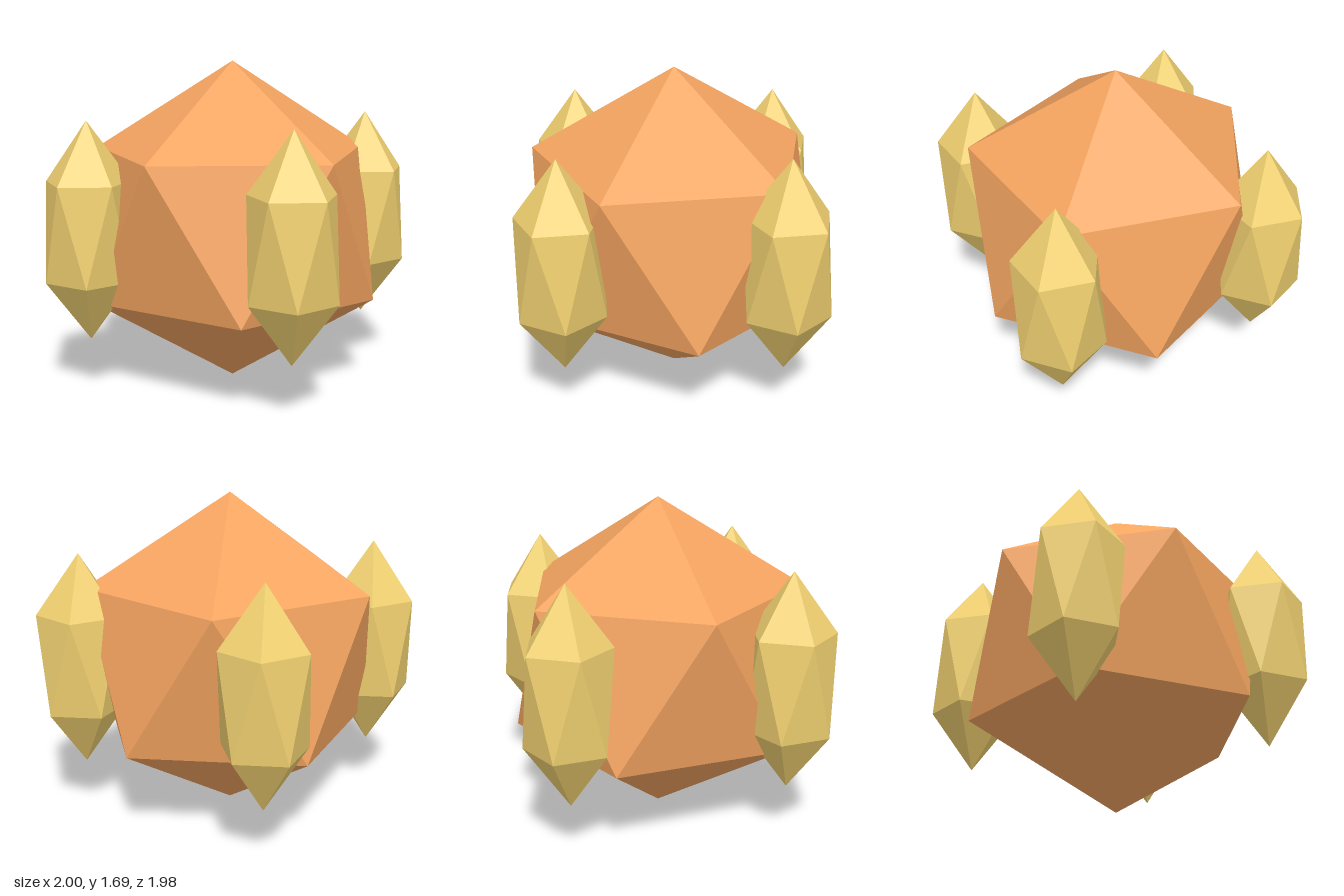
import * as THREE from 'three';

// Icosahedron standing on a corner, with one upper-ring corner pointing to +x
function uprightIcosahedron(radius, halfHeight) {
  const golden = (1 + Math.sqrt(5)) / 2;
  const geometry = new THREE.IcosahedronGeometry(1, 0);
  geometry.rotateZ(-Math.atan(1 / golden));
  geometry.scale(radius, halfHeight, radius);
  return geometry;
}

export function createModel() {
  const model = new THREE.Group();
  model.name = 'crystalCluster';
  const centreY = 0.85;

  const bodyMaterial = new THREE.MeshStandardMaterial({ color: 0xf4a460, flatShading: true });
  const shardMaterial = new THREE.MeshStandardMaterial({ color: 0xf0d070, flatShading: true });

  // Large central gem
  const body = new THREE.Mesh(uprightIcosahedron(0.843, 0.843), bodyMaterial);
  body.name = 'centralGem';
  body.position.y = centreY;
  model.add(body);

  // Four tall shards around it, all turned the same way
  const shardGeometry = uprightIcosahedron(0.25, 0.56);
  const spots = { leftShard: [1, 0], rightShard: [-1, 0], frontShard: [0, 1], backShard: [0, -1] };
  for (const [name, [x, z]] of Object.entries(spots)) {
    const shard = new THREE.Mesh(shardGeometry, shardMaterial);
    shard.name = name;
    shard.position.set(x * 0.776, centreY, z * 0.776);
    model.add(shard);
  }

  return model;
}
